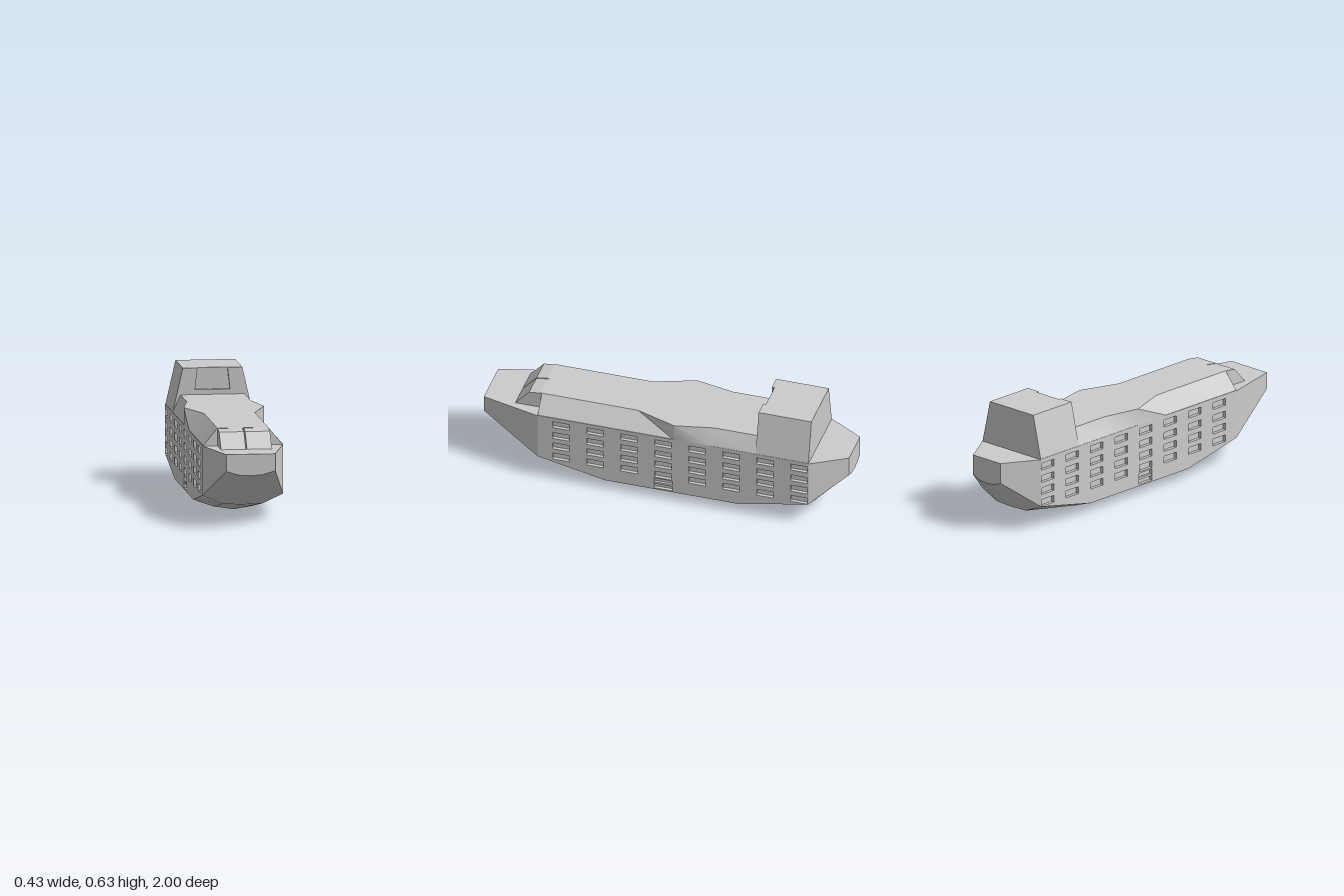
import * as THREE from 'three';
import { toCreasedNormals } from 'three/addons/utils/BufferGeometryUtils.js';

const grey = new THREE.MeshStandardMaterial({ color: 0xcccccc, side: THREE.DoubleSide });

// Skin cross-sections [z, [[x, y], ...]] ordered from back to front, points counter-clockwise
function loft(sections, closed = true) {
  const pos = [], idx = [], n = sections[0][1].length;
  for (const [z, pts] of sections) for (const [x, y] of pts) pos.push(x, y, z);
  const edges = closed ? n : n - 1, last = sections.length - 1;
  for (let s = 0; s < last; s++) {
    for (let i = 0; i < edges; i++) {
      const a = s * n + i, b = s * n + (i + 1) % n;
      idx.push(a, b, b + n, a, b + n, a + n);
    }
  }
  if (closed) {
    for (let i = 1; i < n - 1; i++) {
      idx.push(0, i + 1, i);
      idx.push(last * n, last * n + i, last * n + i + 1);
    }
  }
  const g = new THREE.BufferGeometry();
  g.setAttribute('position', new THREE.Float32BufferAttribute(pos, 3));
  g.setIndex(idx);
  return toCreasedNormals(g, 0.6);
}

// Lower hull profile: side chine, bilge, keel and mirror
const bottom = (hw, chine, bilge, keel) => [
  [-hw, chine], [-hw / 2, bilge], [0, keel], [hw / 2, bilge], [hw, chine]];
// Full hull ring with the deck on top
const ring = (hw, chine, bilge, keel) => [
  [-hw, 0.395], ...bottom(hw, chine, bilge, keel), [hw, 0.395]];
// Symmetric trapezoid from base width to top width
const trapezoid = (base, y0, top, y1) => [[-base, y0], [base, y0], [top, y1], [-top, y1]];

// Side outline of the middle hull, drawn with x = -z
const sideShape = () => new THREE.Shape(
  [[-0.68, 0.133], [-0.31, 0.055], [0.43, 0.055], [0.81, 0.133], [0.81, 0.398], [-0.68, 0.398]]
    .map(([x, y]) => new THREE.Vector2(x, y)));

function extrudeAcross(shape, depth, x) {
  const g = new THREE.ExtrudeGeometry(shape, { depth, bevelEnabled: false });
  return g.rotateY(Math.PI / 2).translate(x, 0, 0);
}

export function createModel() {
  const model = new THREE.Group();
  const add = (name, geometry) => {
    const mesh = new THREE.Mesh(geometry, grey);
    mesh.name = name;
    model.add(mesh);
    return mesh;
  };

  // Hull: tapered bow and stern, rounded bottom between them
  add('bow', loft([[0.68, ring(0.213, 0.133, 0.085, 0.08)], [1, ring(0.13, 0.305, 0.285, 0.28)]]));
  add('stern', loft([[-1, ring(0.1, 0.285, 0.265, 0.26)], [-0.81, ring(0.213, 0.133, 0.085, 0.08)]]));
  add('hullBottom', loft([
    [-0.81, bottom(0.213, 0.133, 0.085, 0.08)],
    [-0.43, bottom(0.213, 0.055, 0.017, 0)],
    [0.31, bottom(0.213, 0.055, 0.017, 0)],
    [0.68, bottom(0.213, 0.133, 0.085, 0.08)]], false));

  // Hull sides pierced by four rows of windows and a door
  const side = sideShape();
  const cut = (x, y, w, h) => side.holes.push(new THREE.Path([
    new THREE.Vector2(x - w / 2, y - h / 2), new THREE.Vector2(x - w / 2, y + h / 2),
    new THREE.Vector2(x + w / 2, y + h / 2), new THREE.Vector2(x + w / 2, y - h / 2)]));
  for (let col = 0; col < 8; col++) {
    for (const y of [0.355, 0.285, 0.218, 0.152]) cut(-0.55 + col * 0.187, y, 0.095, 0.038);
  }
  cut(0.012, 0.094, 0.1, 0.062);
  add('hullCore', extrudeAcross(sideShape(), 0.388, -0.194));
  add('leftSide', extrudeAcross(side, 0.02, 0.193));
  add('rightSide', extrudeAcross(side, 0.02, -0.213));
  for (const s of [-1, 1]) {
    add('doorStep', new THREE.BoxGeometry(0.015, 0.012, 0.1).translate(s * 0.2, 0.092, -0.012));
  }

  // Cabin with sloping walls that flare out amidships
  add('cabin', loft([[-0.53, 0.17], [-0.28, 0.17], [-0.07, 0.213], [0.15, 0.135], [0.68, 0.135]]
    .map(([z, top]) => [z, trapezoid(0.213, 0.395, top, 0.488)])));

  // Split sloping nose block in front of the cabin
  const nose = new THREE.Shape([[-0.66, 0.39], [-0.66, 0.487], [-0.69, 0.487], [-0.75, 0.478], [-0.83, 0.39]]
    .map(([x, y]) => new THREE.Vector2(x, y)));
  add('noseLeft', extrudeAcross(nose, 0.132, 0.003));
  add('noseRight', extrudeAcross(nose, 0.132, -0.135));

  // Tower with a shallow window recess in its front
  const section = trapezoid(0.213, 0.39, 0.158, 0.63);
  add('tower', loft([[-0.81, section], [-0.535, section]]));
  const frame = new THREE.Shape([
    [-0.213, 0.39], [0.213, 0.39], [0.158, 0.63], [0.08, 0.63],
    [0.093, 0.515], [-0.093, 0.515], [-0.08, 0.63], [-0.158, 0.63]]
    .map(([x, y]) => new THREE.Vector2(x, y)));
  add('towerFrontFrame', new THREE.ExtrudeGeometry(frame, { depth: 0.015, bevelEnabled: false })
    .translate(0, 0, -0.535));

  return model;
}
